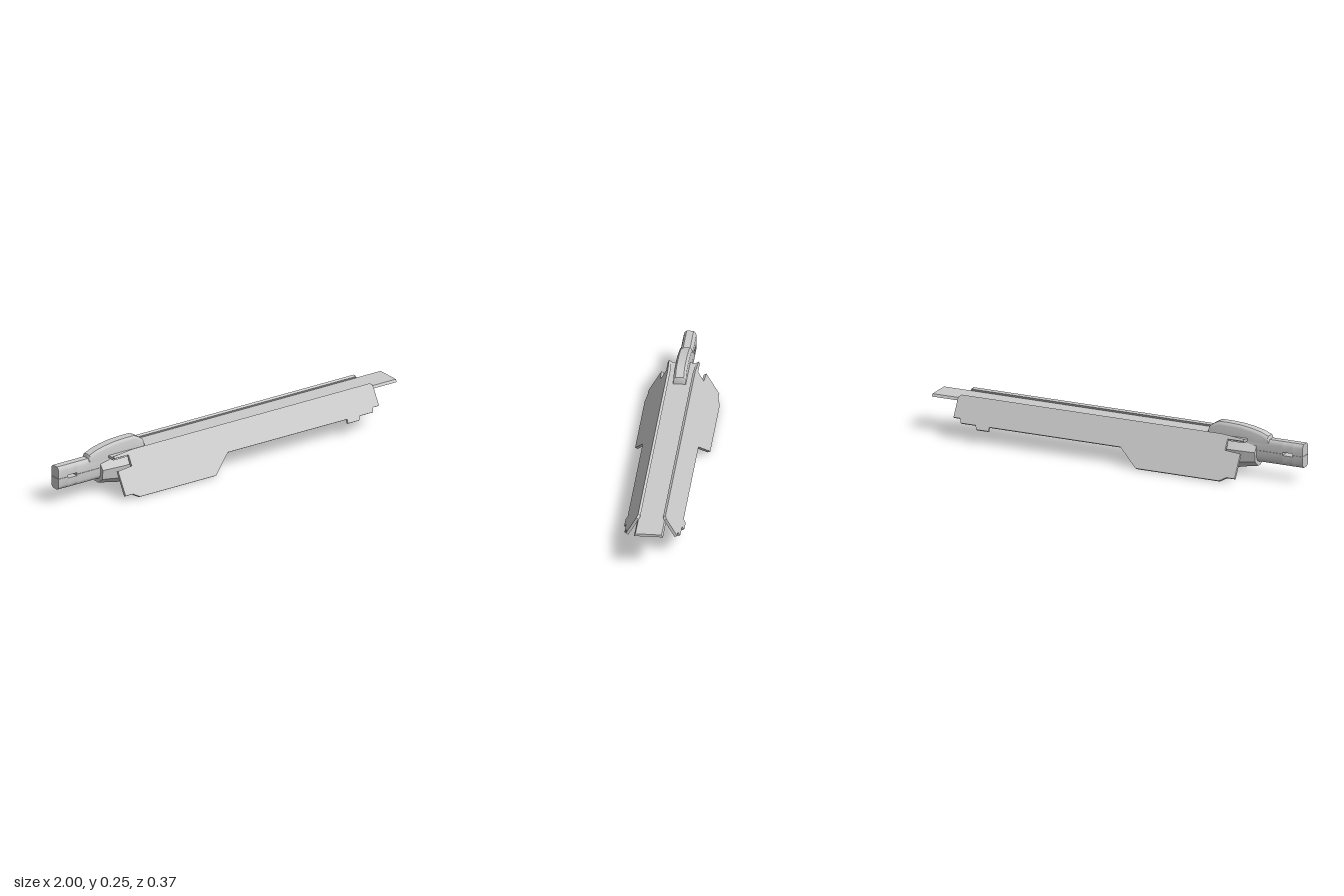
import * as THREE from 'three';
import { toCreasedNormals } from 'three/addons/utils/BufferGeometryUtils.js';

const material = new THREE.MeshStandardMaterial({ color: 0xcccccc });

// Closed loft along x; each section is [x, half outline of [z, y] from bottom to top], mirrored in z.
function loft(sections, crease = 0.6) {
  const pos = [], index = [];
  const n = sections[0][1].length * 2;
  for (const [x, half] of sections) {
    for (const [z, y] of half) pos.push(x, y, -z);
    for (const [z, y] of [...half].reverse()) pos.push(x, y, z);
  }
  for (let i = 0; i < sections.length - 1; i++) {
    for (let j = 0; j < n; j++) {
      const a = i * n + j, b = i * n + (j + 1) % n;
      index.push(a, b, a + n, b, b + n, a + n);
    }
  }
  const last = (sections.length - 1) * n;
  for (let j = 1; j < n - 1; j++) {
    index.push(0, j + 1, j);
    index.push(last, last + j, last + j + 1);
  }
  const g = new THREE.BufferGeometry();
  g.setAttribute('position', new THREE.Float32BufferAttribute(pos, 3));
  g.setIndex(index);
  return toCreasedNormals(g, crease);
}

function add(parent, name, geometry) {
  const mesh = new THREE.Mesh(geometry, material);
  mesh.name = name;
  parent.add(mesh);
  return mesh;
}

// Tilted side panel, outlined by x and height
function panelGeometry() {
  const tilt = Math.cos(Math.PI / 6);
  const outline = [
    [-0.70, 0.022], [-0.655, 0.022], [-0.62, 0.0035], [-0.165, 0.0035], [-0.06, 0.085],
    [0.655, 0.085], [0.655, 0.067], [0.72, 0.067], [0.73, 0.085], [0.81, 0.085],
    [0.82, 0.105], [0.855, 0.105], [0.855, 0.195], [0.84, 0.2065], [-0.58, 0.2065],
    [-0.70, 0.197], [-0.70, 0.187], [-0.615, 0.187], [-0.615, 0.138], [-0.70, 0.132],
  ];
  const shape = new THREE.Shape(outline.map(([x, y]) => new THREE.Vector2(x, y / tilt)));
  const g = new THREE.ExtrudeGeometry(shape, { depth: 0.014, bevelEnabled: false });
  return g.translate(0, 0, -0.007);
}

export function createModel() {
  const model = new THREE.Group();
  model.name = 'model';

  // Pair of side panels leaning in towards the top
  const panel = panelGeometry();
  for (const side of [1, -1]) {
    const mesh = add(model, side > 0 ? 'frontPanel' : 'backPanel', panel);
    mesh.rotation.x = -side * Math.PI / 6;
    mesh.position.z = side * 0.1805;
  }

  // Long flat rail bridging the panels, with slanted edges
  const rail = [[0.071, 0.179], [0.064, 0.192]];
  add(model, 'rail', loft([[-0.70, rail], [1, rail]], 0.3));

  // Faceted bulging body between the panels, tapering towards +x
  const belly = [[0.02, 0.034], [0.062, 0.07], [0.07, 0.135], [0.035, 0.178]];
  const scaled = (s) => belly.map(([z, y]) => [z * s, 0.12 + (y - 0.12) * s]);
  const nose = [[0.02, 0.06], [0.032, 0.066], [0.042, 0.125], [0.03, 0.18]];
  add(model, 'body', loft([
    [-0.75, scaled(0.76)], [-0.70, scaled(0.86)], [-0.64, scaled(1)],
    [-0.54, scaled(1)], [-0.45, scaled(0.88)], [-0.38, nose],
  ]));

  // Handle: two rounded halves with a slit between them
  const handle = new THREE.Group();
  handle.name = 'handle';
  model.add(handle);
  const stretches = [[-1, -0.945, 0], [-0.945, -0.89, 0.007], [-0.89, -0.66, 0]];
  for (const [x0, x1, gap] of stretches) {
    for (const side of [1, -1]) {
      const half = [[0.031, 0.001 + gap], [0.031, 0.038], [0.027, 0.051], [0.017, 0.06]]
        .map(([z, y]) => [z, 0.139 + side * y]);
      if (side < 0) half.reverse();
      add(handle, side > 0 ? 'upperHandle' : 'lowerHandle', loft([[x0, half], [x1, half]]));
    }
  }
  // Core that closes the seam outside the slit
  for (const [x0, x1] of [[-0.998, -0.945], [-0.89, -0.7]]) {
    const core = [[0.028, 0.13], [0.028, 0.148]];
    add(handle, 'handleCore', loft([[x0, core], [x1, core]]));
  }

  // Rounded hump on top, with chamfered upper edges
  const humpTop = [
    [-0.815, 0.198], [-0.808, 0.215], [-0.77, 0.231], [-0.72, 0.243], [-0.66, 0.252],
    [-0.60, 0.255], [-0.54, 0.255], [-0.515, 0.243], [-0.49, 0.226], [-0.485, 0.212],
  ];
  add(model, 'hump', loft(humpTop.map(([x, y]) =>
    [x, [[0.031, 0.165], [0.031, y - 0.017], [0.028, y - 0.008], [0.02, y]]])));

  return model;
}
